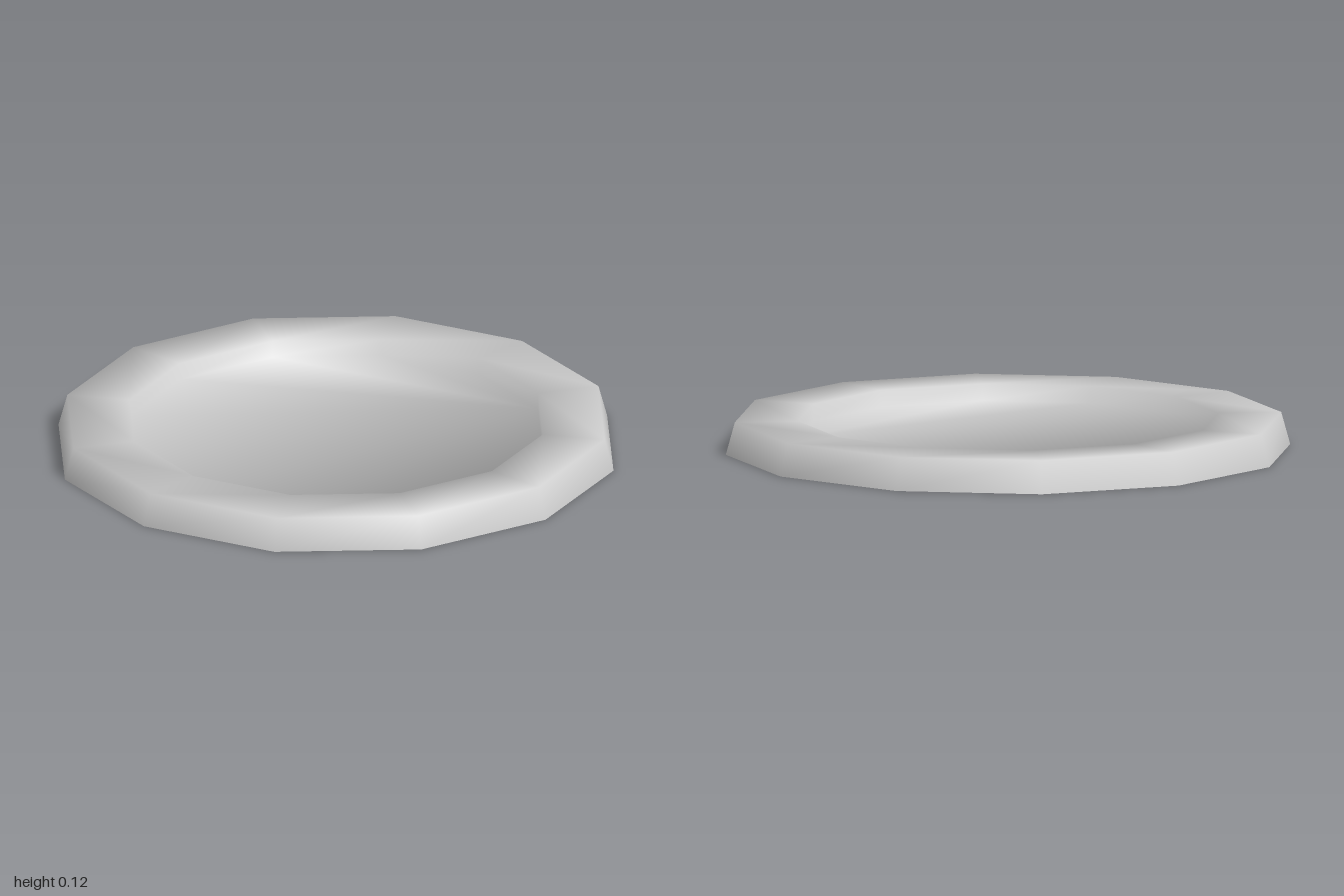
import * as THREE from 'three';

const SIDES = 12;

// Cross-section from outer foot to the sunken floor: radius, height, and normal (outward, up)
const PROFILE = [
  { r: 1.0, y: 0, n: [0.96, 0.27] },        // foot
  { r: 0.968, y: 0.115, n: [0.65, 0.76] },  // outer top edge
  { r: 0.745, y: 0.115, n: [-0.64, 0.77] }, // inner top edge
  { r: 0.745, y: 0.055, n: [-0.76, 0.65] }, // floor edge
];

function dishGeometry() {
  const positions = [], normals = [], index = [];
  for (const { r, y, n } of PROFILE) {
    for (let i = 0; i < SIDES; i++) {
      const a = (i / SIDES) * Math.PI * 2, c = Math.cos(a), s = Math.sin(a);
      positions.push(r * c, y, r * s);
      normals.push(n[0] * c, n[1], n[0] * s);
    }
  }
  // Outer wall, rim top and inner wall
  for (let j = 0; j < PROFILE.length - 1; j++) {
    for (let i = 0; i < SIDES; i++) {
      const k = (i + 1) % SIDES;
      const a = j * SIDES + i, b = j * SIDES + k;
      const c = a + SIDES, d = b + SIDES;
      index.push(a, c, b, b, c, d);
    }
  }
  // Flat floor
  const f = (PROFILE.length - 1) * SIDES;
  for (let i = 1; i < SIDES - 1; i++) index.push(f, f + i + 1, f + i);

  const g = new THREE.BufferGeometry();
  g.setAttribute('position', new THREE.Float32BufferAttribute(positions, 3));
  g.setAttribute('normal', new THREE.Float32BufferAttribute(normals, 3));
  g.setIndex(index);
  return g;
}

export function createModel() {
  const group = new THREE.Group();
  group.name = 'shallowDish';
  // Thin shell, open underneath
  const material = new THREE.MeshStandardMaterial({ color: 0xcccccc, side: THREE.DoubleSide });
  const dish = new THREE.Mesh(dishGeometry(), material);
  dish.name = 'dishShell';
  group.add(dish);
  return group;
}
